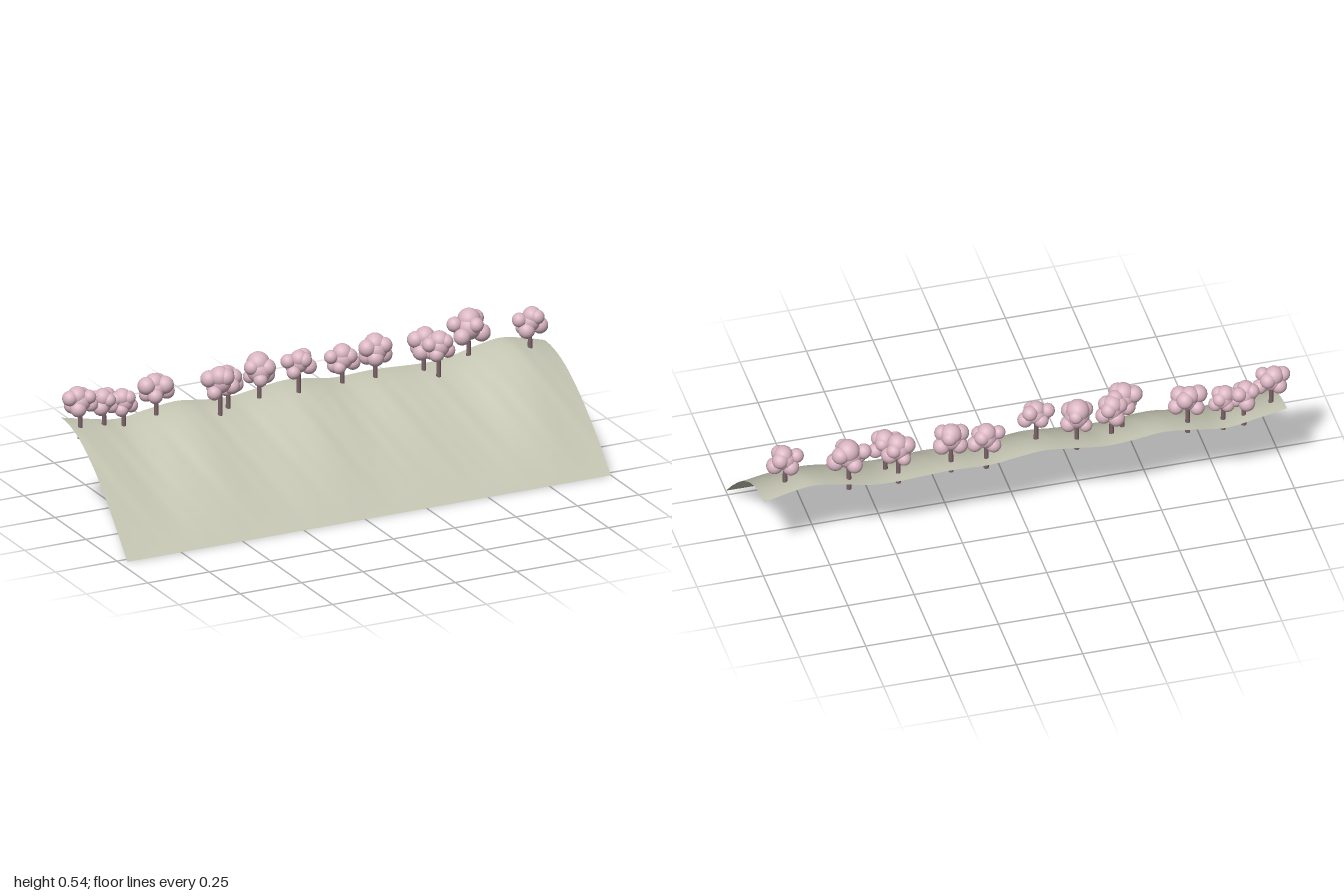
import * as THREE from 'three';

const mat = (name, color, side = THREE.FrontSide) => {
  const m = new THREE.MeshStandardMaterial({ color, side });
  m.name = name;
  return m;
};

// Crest height along x: [x, height]
const crest = new THREE.SplineCurve([
  [-0.97, 0.38], [-0.86, 0.357], [-0.74, 0.337], [-0.62, 0.353], [-0.5, 0.365], [-0.38, 0.35],
  [-0.28, 0.345], [-0.16, 0.36], [-0.05, 0.371], [0.06, 0.358], [0.15, 0.346], [0.3, 0.35],
  [0.5, 0.34], [0.6, 0.345], [0.7, 0.367], [0.81, 0.385], [0.9, 0.372], [1.0, 0.345],
].map(([x, y]) => new THREE.Vector2(x, y)));
const crestPoints = crest.getPoints(300);

function crestHeight(x) {
  let i = 1;
  while (i < crestPoints.length - 1 && crestPoints[i].x < x) i++;
  const a = crestPoints[i - 1], b = crestPoints[i];
  const t = THREE.MathUtils.clamp((x - a.x) / (b.x - a.x), 0, 1);
  return a.y + (b.y - a.y) * t;
}

// Quarter-sine slope rising towards the back, with faint slanting ripples
function groundHeight(x, z) {
  const t = THREE.MathUtils.clamp((0.275 - z) / 0.535, 0, 1);
  const u = x - 0.22 * (1 - t) * (1 - t);
  const ripple = Math.sin(u * 31) + 0.7 * Math.sin(u * 53 + 1.3) + 0.5 * Math.sin(u * 87 + 4);
  return crestHeight(x) * Math.sin(t * Math.PI / 2) + 0.0011 * ripple * Math.sin(t * Math.PI);
}

function seeded(seed) {
  let s = seed;
  return () => (s = (s * 16807) % 2147483647) / 2147483647;
}

// Trees: [x, z, crown bottom, crown top, half width, half depth]
const trees = [
  [-0.93, -0.185, 0.405, 0.52, 0.072, 0.05],
  [-0.82, -0.21, 0.38, 0.488, 0.058, 0.05],
  [-0.745, -0.20, 0.37, 0.477, 0.055, 0.042],
  [-0.61, -0.205, 0.396, 0.508, 0.075, 0.055],
  [-0.38, -0.145, 0.395, 0.519, 0.076, 0.052],
  [-0.33, -0.18, 0.386, 0.502, 0.06, 0.05],
  [-0.195, -0.195, 0.385, 0.524, 0.064, 0.06],
  [-0.05, -0.165, 0.415, 0.519, 0.07, 0.046],
  [0.15, -0.21, 0.377, 0.493, 0.072, 0.046],
  [0.28, -0.20, 0.386, 0.513, 0.07, 0.052],
  [0.48, -0.205, 0.385, 0.505, 0.064, 0.053],
  [0.515, -0.155, 0.38, 0.498, 0.066, 0.045],
  [0.67, -0.22, 0.396, 0.535, 0.084, 0.064],
  [0.90, -0.18, 0.406, 0.519, 0.07, 0.05],
];

function makeTree([x, z, low, high, hw, hd], index, bark, blossom) {
  const tree = new THREE.Group();
  tree.name = 'tree';
  const rand = seeded(101 + index * 7919);
  const mid = (low + high) / 2, hh = (high - low) / 2;

  // Trunk, rooted below the ground
  const base = groundHeight(x, z) - 0.045;
  const trunk = new THREE.Mesh(new THREE.CylinderGeometry(0.007, 0.0095, mid - base, 10), bark);
  trunk.name = 'trunk';
  trunk.position.set(x, (mid + base) / 2, z);
  tree.add(trunk);

  const crown = new THREE.Group();
  crown.name = 'crown';
  crown.position.set(x, mid, z);
  const puff = (r, px, py, pz) => {
    const m = new THREE.Mesh(new THREE.SphereGeometry(r, 20, 14), blossom);
    m.name = 'blossomPuff';
    m.position.set(px, py, pz);
    crown.add(m);
  };

  // Central and top puffs, then a ring of smaller ones
  puff(hh * 0.68, 0, 0, 0);
  puff(hh * 0.62, (rand() - 0.5) * 0.02, hh * 0.38, (rand() - 0.5) * 0.015);
  const start = rand() * 0.6 - 0.3;
  for (let i = 0; i < 6; i++) {
    const a = start + i * Math.PI / 3;
    const r = Math.min(hd * 0.62, 0.025 + rand() * 0.009);
    puff(r, Math.cos(a) * (hw - r), (i % 2 ? 0.28 : -0.4) * hh + (rand() - 0.5) * 0.012, Math.sin(a) * (hd - r));
  }
  tree.add(crown);
  return tree;
}

export function createModel() {
  const model = new THREE.Group();
  model.name = 'hillsideWithTrees';
  const grass = mat('paleGrass', 0xc5c6b3, THREE.DoubleSide);
  const bark = mat('mauveBark', 0x7d636a);
  const blossom = mat('pinkBlossom', 0xd9b5c2);

  // Open curved hillside sheet
  const geo = new THREE.PlaneGeometry(1.97, 0.535, 180, 36);
  geo.rotateX(-Math.PI / 2);
  geo.translate(0.015, 0, 0.0075);
  const p = geo.attributes.position;
  for (let i = 0; i < p.count; i++) p.setY(i, groundHeight(p.getX(i), p.getZ(i)));
  geo.computeVertexNormals();
  const hill = new THREE.Mesh(geo, grass);
  hill.name = 'hillside';
  model.add(hill);

  trees.forEach((t, i) => model.add(makeTree(t, i, bark, blossom)));
  return model;
}
